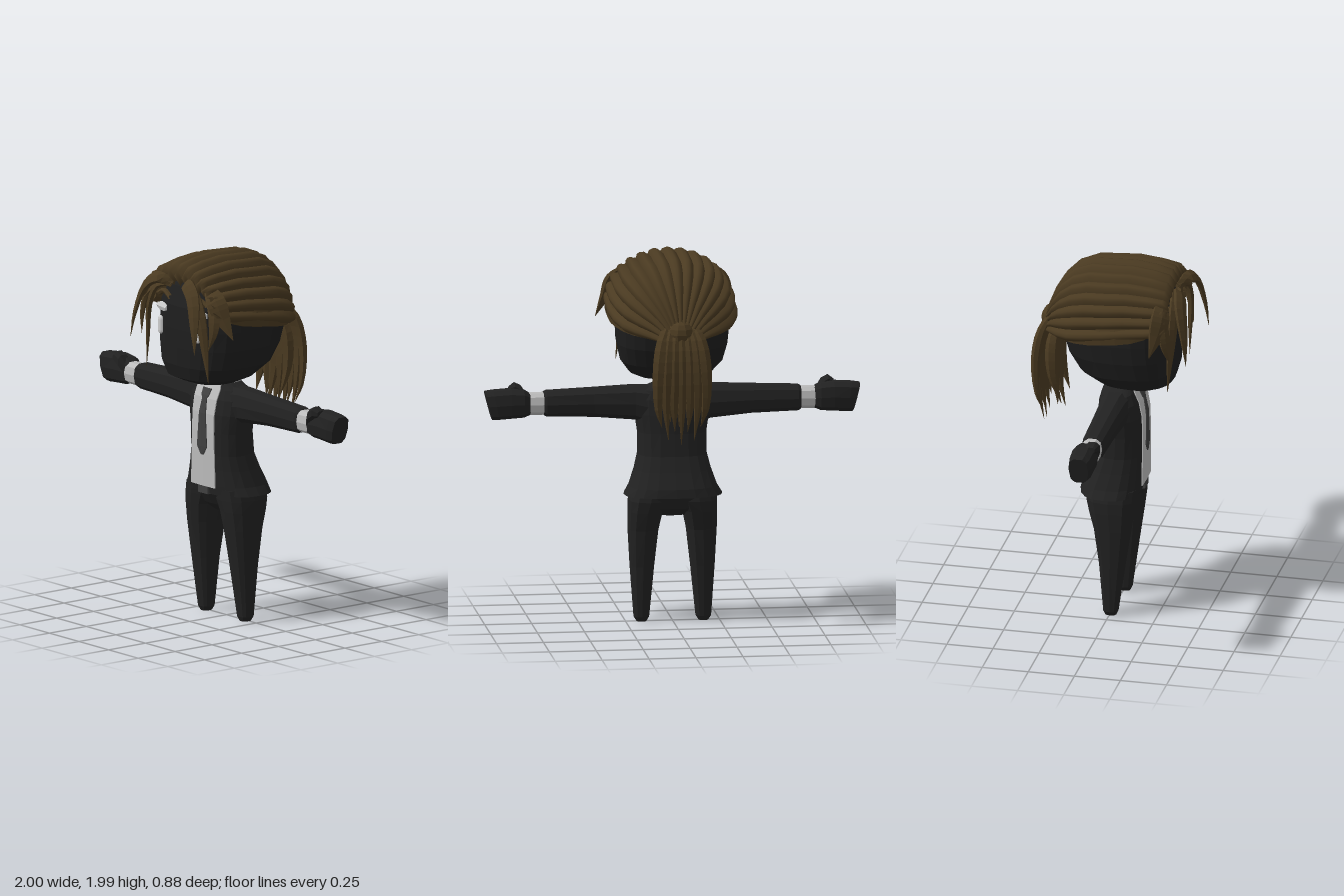
import * as THREE from 'three';

const mat = (name, color, side = THREE.FrontSide) => {
  const m = new THREE.MeshStandardMaterial({ color, side });
  m.name = name;
  return m;
};

// Skin a list of equal rings (turning counter-clockwise about the path) and cap both ends
function loft(rings) {
  const n = rings[0].length, pos = rings.flat(2), idx = [];
  for (let j = 0; j < rings.length - 1; j++) {
    for (let i = 0; i < n; i++) {
      const a = j * n + i, b = j * n + (i + 1) % n;
      idx.push(a, b, b + n, a, b + n, a + n);
    }
  }
  [0, rings.length - 1].forEach((j, end) => {
    const c = pos.length / 3;
    for (let k = 0; k < 3; k++) pos.push(rings[j].reduce((s, p) => s + p[k], 0) / n);
    for (let i = 0; i < n; i++) {
      const a = j * n + i, b = j * n + (i + 1) % n;
      idx.push(c, end ? a : b, end ? b : a);
    }
  });
  const g = new THREE.BufferGeometry();
  g.setAttribute('position', new THREE.Float32BufferAttribute(pos, 3));
  g.setIndex(idx);
  return g;
}

const bend = (v, e) => Math.sign(v) * Math.abs(v) ** (2 / e);

// Upright body: rows of [y, centreX, halfWidth, frontZ, backZ]
const upright = (rows, n = 16, e = 2.6) => loft(rows.map(([y, cx, rx, zf, zb]) =>
  Array.from({ length: n }, (_, i) => {
    const t = (i / n) * Math.PI * 2;
    return [cx + rx * bend(Math.sin(t), e), y, (zf + zb) / 2 + (zf - zb) / 2 * bend(Math.cos(t), e)];
  })));

// Sideways limb: rows of [x, bottomY, topY, backZ, frontZ, lean]
const sideways = (rows, n = 10, e = 2.6) => loft(rows.map(([x, y0, y1, z0, z1, lean = 0]) =>
  Array.from({ length: n }, (_, i) => {
    const t = ((i + 0.5) / n) * Math.PI * 2, c = bend(Math.cos(t), e);
    return [x + lean * c, (y0 + y1) / 2 + (y1 - y0) / 2 * c, (z0 + z1) / 2 + (z1 - z0) / 2 * bend(Math.sin(t), e)];
  })));

// Thin plate on the chest: rows of [y, halfWidth, z]
const plate = (rows) => loft(rows.map(([y, w, z]) =>
  [[-w, y, z - 0.009], [-w, y, z - 0.003], [0, y, z], [w, y, z - 0.003], [w, y, z - 0.009]]));

// Tapered hair lock swept along a curve, lying flat against the head
const middle = new THREE.Vector3(0, 1.6, 0);
function lock(points, width, thick, root = 0.5) {
  const curve = new THREE.CatmullRomCurve3(points.map((p) => new THREE.Vector3(...p)));
  const rings = [];
  for (let j = 0; j <= 12; j++) {
    const t = j / 12, p = curve.getPoint(t), dir = curve.getTangent(t);
    const out = p.clone().sub(middle).projectOnPlane(dir).normalize();
    const across = dir.clone().cross(out);
    const s = Math.max(0.02, t < 0.4 ? root + (1 - root) * Math.sin(t / 0.4 * Math.PI / 2)
      : Math.cos((t - 0.4) / 0.6 * Math.PI / 2));
    rings.push(Array.from({ length: 6 }, (_, i) => {
      const a = (i / 6) * Math.PI * 2;
      return p.clone().addScaledVector(out, thick * s * Math.cos(a))
        .addScaledVector(across, width * s * Math.sin(a)).toArray();
    }));
  }
  return loft(rings);
}

function flat(g) {
  const f = g.toNonIndexed();
  f.computeVertexNormals();
  return f;
}

function mirrored(g) {
  const m = g.clone();
  m.scale(-1, 1, 1);
  m.setIndex([...g.index.array].reverse());
  return m;
}

// Combed-back cap: stations of [z, lowerEdgeY, halfWidth, height], split into raised strands
function hairCap(strands) {
  const stations = [
    [0.29, 1.73, 0.25, 0.09], [0.33, 1.72, 0.28, 0.16], [0.30, 1.70, 0.305, 0.225],
    [0.22, 1.69, 0.315, 0.255], [0.10, 1.675, 0.32, 0.285], [0, 1.66, 0.32, 0.295], [-0.12, 1.64, 0.305, 0.31],
    [-0.21, 1.62, 0.27, 0.295], [-0.28, 1.605, 0.21, 0.24], [-0.33, 1.59, 0.14, 0.17], [-0.37, 1.57, 0.07, 0.09]];
  const pos = [], idx = [], lift = [0, 0.02, 0.026, 0.02, 0];
  for (let s = 0; s < strands; s++) {
    const base = pos.length / 3;
    stations.forEach(([z, y, w, h], j) => lift.forEach((l, k) => {
      const a = ((s + k / 4) / strands - 0.5) * Math.PI * 1.04;
      pos.push((w + l) * Math.sin(a), y + (h + l) * Math.cos(a), z);
      if (k < 4 && j < stations.length - 1) {
        const q = base + j * 5 + k;
        idx.push(q, q + 1, q + 6, q, q + 6, q + 5);
      }
    }));
  }
  const g = new THREE.BufferGeometry();
  g.setAttribute('position', new THREE.Float32BufferAttribute(pos, 3));
  g.setIndex(idx);
  g.computeVertexNormals();
  return g;
}

export function createModel() {
  const group = new THREE.Group();
  const suit = mat('suit black', 0x222222), skin = mat('skin black', 0x1e1e1e);
  const shirt = mat('shirt grey', 0xbcbcbc), tie = mat('tie grey', 0x404040);
  const mark = mat('face mark light', 0xd0d0d0);
  const hair = mat('hair brown', 0x4a3a21, THREE.DoubleSide);

  const add = (name, geometry, material, keep = false) => {
    const m = new THREE.Mesh(keep ? geometry : flat(geometry), material);
    m.name = name;
    group.add(m);
  };
  const pair = (name, g, material) => {
    add('left' + name, g, material);
    add('right' + name, mirrored(g), material);
  };

  // Head and neck
  add('head', upright([[1.30, 0, 0.16, 0.25, 0], [1.33, 0, 0.22, 0.315, -0.09], [1.40, 0, 0.27, 0.335, -0.19],
    [1.50, 0, 0.293, 0.34, -0.25], [1.60, 0, 0.30, 0.34, -0.28], [1.72, 0, 0.295, 0.33, -0.27],
    [1.82, 0, 0.24, 0.295, -0.21], [1.90, 0, 0.12, 0.2, -0.1]], 24), skin);
  add('neck', upright([[1.2, 0, 0.06, 0.08, -0.04], [1.36, 0, 0.06, 0.08, -0.04]], 10), skin);

  // Face: upright eyes, light lids and brown brows
  const eye = new THREE.CapsuleGeometry(0.02, 0.06, 3, 8);
  eye.scale(1, 1, 0.7).rotateY(0.2).translate(0.155, 1.595, 0.322);
  pair('Eye', eye, mark);
  const strip = (points, radius) => new THREE.TubeGeometry(new THREE.CatmullRomCurve3(
    points.map((p) => new THREE.Vector3(...p))), 6, radius, 6);
  pair('Lid', loft([[0.098, 1.682, 1.708], [0.12, 1.672, 1.715], [0.17, 1.672, 1.716], [0.195, 1.682, 1.708]]
    .map(([x, a, b]) => {
      const z = 0.345 - x * 0.17;
      return [[x, b, z - 0.025], [x, b, z], [x, (a + b) / 2, z + 0.008], [x, a, z], [x, a, z - 0.025]];
    }).map((r) => r)), mark);
  pair('Brow', strip([[0.08, 1.755, 0.318], [0.14, 1.78, 0.308], [0.20, 1.755, 0.295]], 0.014), hair);

  // Jacket with flared hem, then collar, shirt, tie and buckle
  add('jacket', upright([[0.70, 0, 0.19, 0.14, -0.12], [0.69, 0, 0.262, 0.15, -0.18], [0.735, 0, 0.235, 0.155, -0.172],
    [0.82, 0, 0.205, 0.156, -0.135], [0.90, 0, 0.185, 0.157, -0.105], [1.02, 0, 0.185, 0.157, -0.092],
    [1.12, 0, 0.20, 0.154, -0.09], [1.20, 0, 0.20, 0.138, -0.083], [1.25, 0, 0.17, 0.115, -0.07],
    [1.28, 0, 0.10, 0.095, -0.055]], 20), suit);
  add('collar', upright([[1.25, 0, 0.10, 0.115, -0.068], [1.305, 0, 0.085, 0.095, -0.055]], 12), shirt);
  add('shirtFront', plate([[0.725, 0.10, 0.163], [0.9, 0.095, 0.165], [1.02, 0.09, 0.165], [1.12, 0.09, 0.162],
    [1.20, 0.093, 0.147], [1.25, 0.095, 0.126], [1.29, 0.08, 0.106]]), shirt);
  add('tie', plate([[0.895, 0.012, 0.17], [0.94, 0.04, 0.172], [1.12, 0.027, 0.169], [1.20, 0.018, 0.154],
    [1.215, 0.03, 0.15], [1.25, 0.034, 0.134]]), tie);
  add('beltBuckle', new THREE.BoxGeometry(0.08, 0.045, 0.02).translate(0, 0.706, 0.15), tie);

  // Trousers
  add('hips', upright([[0.575, 0, 0.07, 0.05, -0.05], [0.62, 0, 0.17, 0.10, -0.11], [0.68, 0, 0.225, 0.135, -0.135],
    [0.74, 0, 0.22, 0.14, -0.14]], 16), suit);
  pair('Leg', upright([[0, 0.165, 0.026, 0.035, -0.025], [0.025, 0.165, 0.042, 0.046, -0.036],
    [0.30, 0.161, 0.066, 0.085, -0.06], [0.50, 0.155, 0.083, 0.115, -0.09], [0.60, 0.145, 0.094, 0.13, -0.12],
    [0.66, 0.13, 0.108, 0.137, -0.135], [0.72, 0.12, 0.105, 0.14, -0.13]], 12), suit);

  // Arms, cuffs, hands and thumbs
  pair('Sleeve', sideways([[0.12, 1.05, 1.27, -0.07, 0.11], [0.20, 1.085, 1.272, -0.055, 0.10],
    [0.42, 1.105, 1.262, -0.045, 0.092], [0.67, 1.112, 1.252, -0.038, 0.086],
    [0.685, 1.12, 1.245, -0.03, 0.08]]), suit);
  pair('Cuff', sideways([[0.67, 1.122, 1.242, -0.028, 0.078], [0.77, 1.122, 1.242, -0.028, 0.078]]), shirt);
  pair('Hand', sideways([[0.755, 1.125, 1.238, -0.025, 0.075], [0.79, 1.112, 1.26, -0.045, 0.08],
    [0.86, 1.108, 1.268, -0.05, 0.08], [0.94, 1.103, 1.262, -0.045, 0.08, 0.015],
    [0.98, 1.103, 1.256, -0.035, 0.07, 0.02]], 10, 3), suit);
  pair('Thumb', sideways([[0.77, 1.16, 1.23, 0.02, 0.08], [0.80, 1.2, 1.275, 0.02, 0.096],
    [0.835, 1.225, 1.292, 0.025, 0.096], [0.865, 1.235, 1.27, 0.035, 0.08]], 8), suit);

  // Hair cap and the locks wrapping its lower edge
  add('hairCap', hairCap(15), hair, true);
  pair('SideHair', lock([[0.25, 1.73, 0.29], [0.305, 1.69, 0.18], [0.318, 1.665, 0], [0.26, 1.63, -0.18],
    [0.13, 1.60, -0.30], [0.04, 1.60, -0.35]], 0.05, 0.022), hair);

  // Front locks framing the face
  [
    [[[0.06, 1.83, 0.32], [0.12, 1.865, 0.365], [0.20, 1.81, 0.39], [0.25, 1.66, 0.42], [0.27, 1.52, 0.435]], 0.042, 0.018],
    [[[0.06, 1.84, 0.32], [0.15, 1.82, 0.345], [0.215, 1.70, 0.35], [0.24, 1.52, 0.34], [0.26, 1.35, 0.333]], 0.034, 0.016],
    [[[0.21, 1.85, 0.29], [0.285, 1.79, 0.30], [0.325, 1.70, 0.285], [0.38, 1.595, 0.26]], 0.06, 0.02],
    [[[0.22, 1.80, 0.30], [0.285, 1.73, 0.315], [0.30, 1.63, 0.33], [0.28, 1.53, 0.35]], 0.035, 0.016],
  ].forEach(([pts, w, th], i) => pair('FrontLock' + (i + 1), lock(pts, w, th), hair));

  // Ponytail: two layers of fanned locks
  add('hairTie', new THREE.SphereGeometry(0.075, 10, 8).translate(0, 1.615, -0.335), hair);
  for (let i = -3; i <= 3; i++) {
    const x = i * 0.038, tip = 1.02 + (Math.abs(i) % 2) * 0.06 + Math.abs(i) * 0.012;
    add('ponytailOuterLock', lock([[x * 0.5, 1.67, -0.32], [x * 0.9, 1.58, -0.385], [x * 1.1, 1.42, -0.415],
      [x * 1.1, 1.22, -0.405], [x * 0.9, tip, -0.38]], 0.036, 0.024), hair);
  }
  for (let i = -2; i <= 2; i++) {
    const x = i * 0.045;
    add('ponytailInnerLock', lock([[x * 0.4, 1.62, -0.30], [x, 1.5, -0.33], [x * 1.2, 1.32, -0.325],
      [x * 1.1, 1.1 + Math.abs(i) * 0.03, -0.28 - (i % 2 ? 0.03 : 0)]], 0.045, 0.035), hair);
  }

  return group;
}
